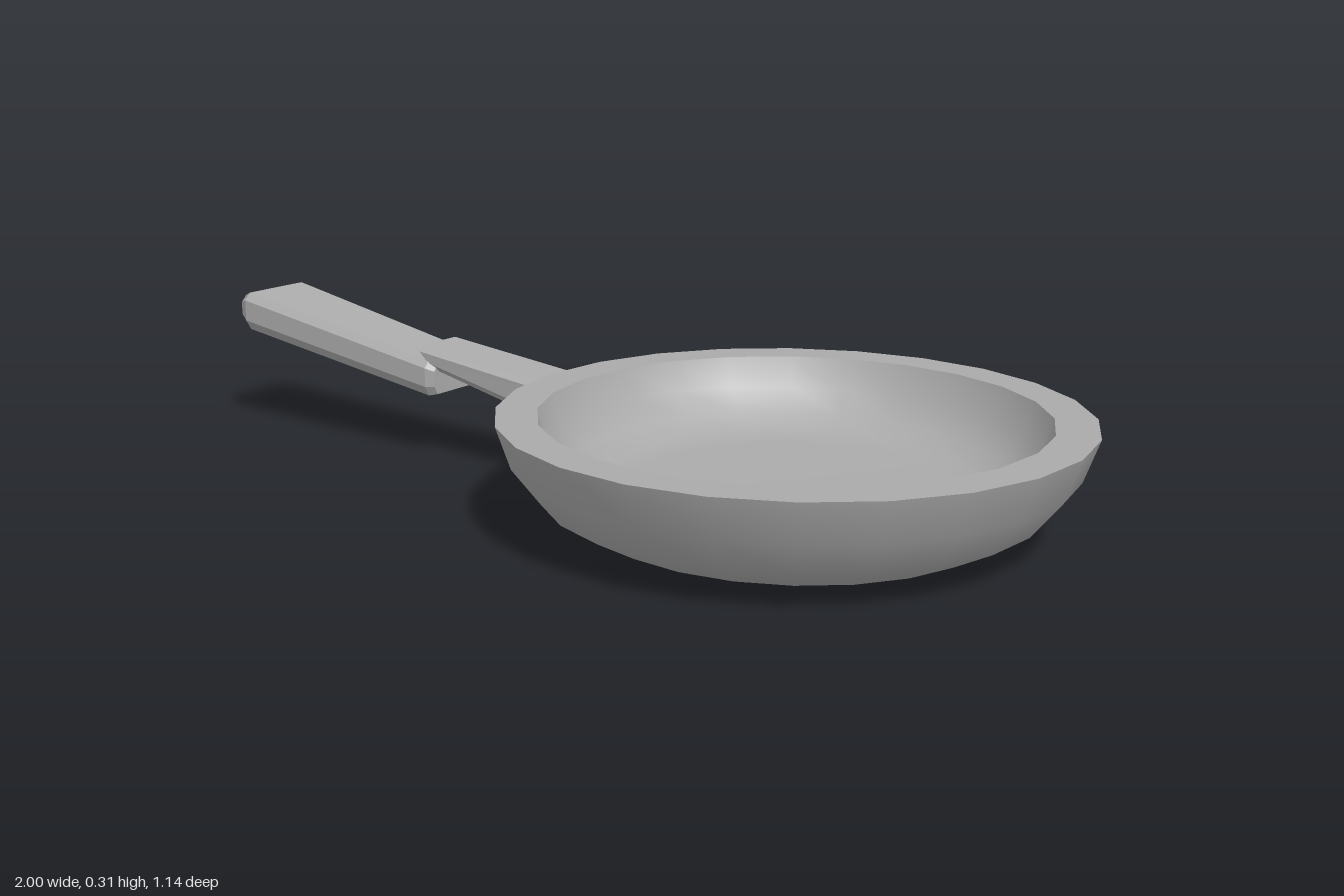
import * as THREE from 'three';

const metal = new THREE.MeshStandardMaterial({ color: 0xaaaaaa });
metal.name = 'grey metal';

const PAN_X = 0.43;
const SIDES = 24;

function part(name, geometry) {
  const mesh = new THREE.Mesh(geometry, metal);
  mesh.name = name;
  return mesh;
}

// Turned surface; profile runs from underside to rim to inside so faces point outward
function turned(name, profile) {
  const points = profile.map(([r, y]) => new THREE.Vector2(r, y));
  const mesh = part(name, new THREE.LatheGeometry(points, SIDES, THREE.MathUtils.degToRad(2)));
  mesh.position.x = PAN_X;
  return mesh;
}

// Faceted bar lofted along x through eight-sided sections
// Station: [x, bottom, top, halfWidth, topInset, bottomInset, chamfer, xShift of the lower half]
function bar(name, stations) {
  const rings = stations.map(([x, y0, y1, w, ti, bi, c, shift = 0]) => [
    [x, y1, w - ti], [x, y1 - c, w], [x + shift * 0.6, y0 + c * 1.4, w], [x + shift, y0, w - bi],
    [x + shift, y0, bi - w], [x + shift * 0.6, y0 + c * 1.4, -w], [x, y1 - c, -w], [x, y1, ti - w],
  ]);
  const pos = [];
  const tri = (a, b, c) => pos.push(...a, ...b, ...c);
  for (let i = 0; i < rings.length - 1; i++) {
    const a = rings[i], b = rings[i + 1];
    for (let j = 0; j < 8; j++) {
      const k = (j + 1) % 8;
      tri(a[j], a[k], b[j]);
      tri(a[k], b[k], b[j]);
    }
  }
  // End caps
  const first = rings[0], last = rings[rings.length - 1];
  for (let j = 1; j < 7; j++) {
    tri(first[0], first[j + 1], first[j]);
    tri(last[0], last[j], last[j + 1]);
  }
  const geometry = new THREE.BufferGeometry();
  geometry.setAttribute('position', new THREE.Float32BufferAttribute(pos, 3));
  geometry.computeVertexNormals();
  return part(name, geometry);
}

export function createModel() {
  const group = new THREE.Group();
  group.name = 'fryingPan';

  // Pan: smooth outer bowl, flat rim, smooth inner bowl
  group.add(turned('outerBowl', [[0, 0], [0.31, 0.003], [0.4, 0.02], [0.483, 0.065], [0.54, 0.138], [0.569, 0.222]]));
  group.add(turned('rim', [[0.569, 0.222], [0.488, 0.222]]));
  group.add(turned('innerBowl', [[0.488, 0.222], [0.465, 0.16], [0.422, 0.113], [0.365, 0.086], [0.3, 0.08], [0, 0.08]]));

  // Neck: slopes up from the bowl wall and overlaps the grip
  group.add(bar('neck', [
    [-0.465, 0.195, 0.246, 0.066, 0.016, 0.012, 0.012, 0.04],
    [-0.09, 0.125, 0.207, 0.072, 0.02, 0.012, 0.012],
  ]));

  // Grip: wider towards its bevelled far end
  group.add(bar('grip', [
    [-1.0, 0.235, 0.296, 0.082, 0.014, 0.012, 0.014],
    [-0.972, 0.222, 0.307, 0.097, 0.016, 0.014, 0.016],
    [-0.44, 0.14, 0.217, 0.078, 0.014, 0.012, 0.015],
    [-0.422, 0.144, 0.208, 0.068, 0.012, 0.01, 0.013],
  ]));

  return group;
}
